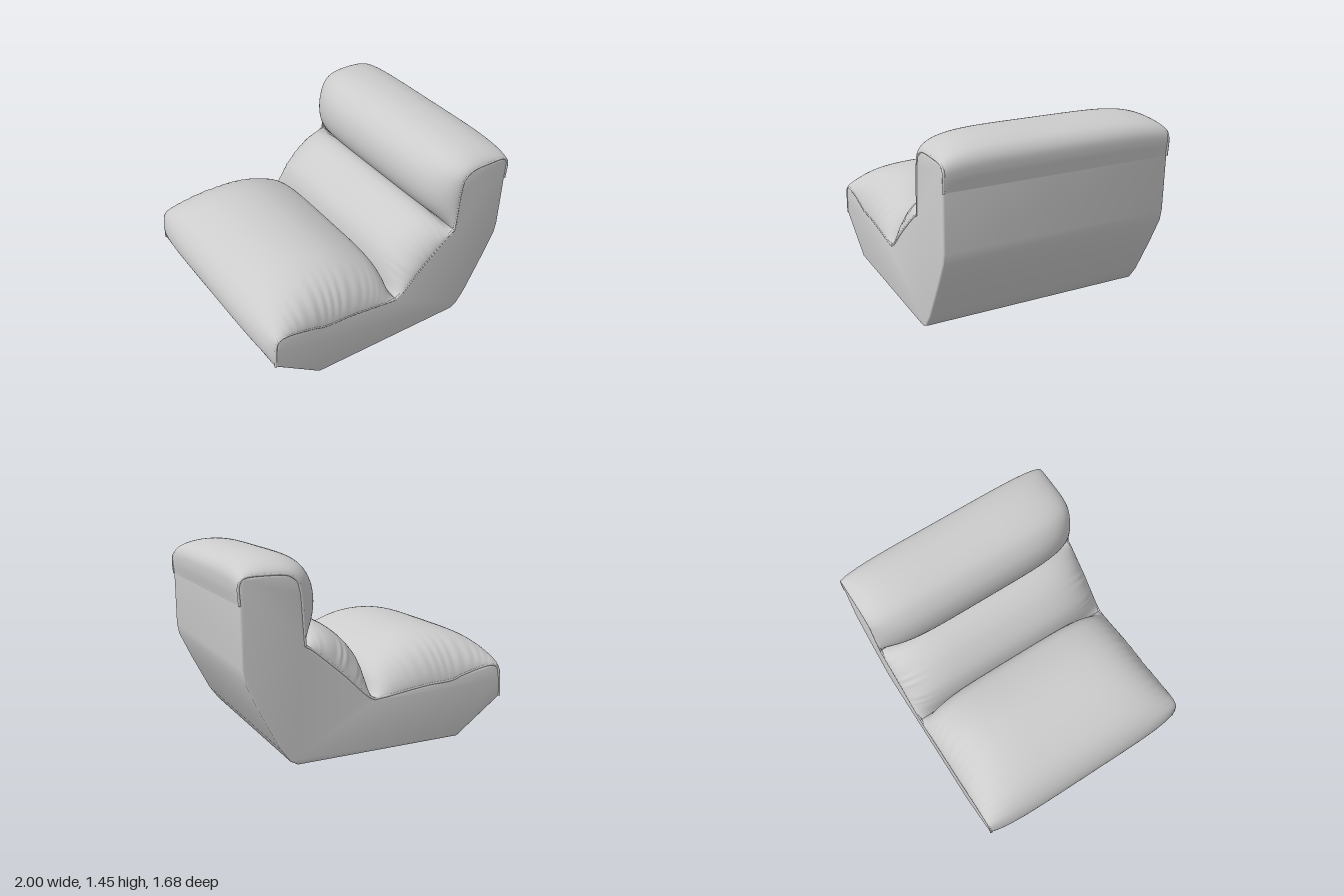
import * as THREE from 'three';
import { toCreasedNormals } from 'three/addons/utils/BufferGeometryUtils.js';

const HALF = 0.835; // half the width of the chair
const pts = (list, z = 0) => list.map(([x, y]) => new THREE.Vector3(x, y, z));
const curveOf = (list, z) => new THREE.CatmullRomCurve3(pts(list, z), false, 'centripetal');

// Seams where the cushions meet the shell, from front to back
const seatSeam = [[-0.945, 0.37], [-0.94, 0.5], [-0.925, 0.58], [-0.88, 0.605], [-0.64, 0.56], [-0.55, 0.53], [-0.35, 0.515], [0.0, 0.465], [0.05, 0.46]];
const lumbarSeam = [[0.05, 0.46], [0.1, 0.49], [0.26, 0.64], [0.4, 0.76], [0.5, 0.84], [0.545, 0.865]];
const headSeam = [[0.545, 0.865], [0.555, 1.0], [0.57, 1.2], [0.59, 1.28], [0.65, 1.325], [0.8, 1.335], [0.95, 1.32], [0.978, 1.28], [0.975, 1.15]];
// Lower outline of the shell, from the back round to the front
const underside = [[0.97, 0.75], [0.955, 0.67], [0.86, 0.47], [0.72, 0.2], [0.65, 0.105], [0.6, 0.08], [-0.6, 0.115]];

// Puffed outlines of the cushions at mid width
const seatPuff = [[-0.95, 0.37], [-0.995, 0.46], [-0.995, 0.56], [-0.95, 0.66], [-0.86, 0.75], [-0.7, 0.82], [-0.5, 0.85], [-0.3, 0.83], [-0.12, 0.765], [0.0, 0.69], [0.05, 0.61], [0.055, 0.46]];
const lumbarPuff = [[0.05, 0.46], [0.05, 0.62], [0.085, 0.74], [0.16, 0.84], [0.27, 0.925], [0.39, 0.963], [0.47, 0.945], [0.545, 0.865]];
const headPuff = [[0.545, 0.865], [0.46, 0.95], [0.405, 1.05], [0.39, 1.17], [0.42, 1.29], [0.5, 1.39], [0.6, 1.435], [0.72, 1.45], [0.85, 1.437], [0.95, 1.395], [0.99, 1.34], [0.995, 1.26], [0.975, 1.15]];

// Cushion: section swells from the seam at each side to the full puff in the middle
function cushionGeometry(seam, puff, pleats) {
  const cols = 120, rows = 64;
  const a = curveOf(seam).getSpacedPoints(cols);
  const b = curveOf(puff).getSpacedPoints(cols);
  const pos = [], idx = [];
  for (let j = 0; j <= rows; j++) {
    const s = Math.sin((j / rows - 0.5) * Math.PI);
    const e = Math.abs(s);
    const swell = Math.pow(Math.max(0, 1 - e ** 5), 0.6);
    for (let i = 0; i <= cols; i++) {
      const t = i / cols;
      // gathered pleats fading away from the side seams
      const wave = Math.sin(t * pleats * 6.283 + 1.5 * Math.sin(t * 23));
      const gather = 0.07 * wave * e ** 12 * Math.sin(Math.PI * t) ** 2;
      const p = a[i].clone().lerp(b[i], swell * (1 + (pleats ? gather : 0)));
      pos.push(p.x, p.y, s * HALF);
      if (i < cols && j < rows) {
        const k = j * (cols + 1) + i, n = k + cols + 1;
        idx.push(k, n, k + 1, k + 1, n, n + 1);
      }
    }
  }
  const g = new THREE.BufferGeometry();
  g.setAttribute('position', new THREE.Float32BufferAttribute(pos, 3));
  g.setIndex(idx);
  g.computeVertexNormals();
  return g;
}

export function createModel() {
  const group = new THREE.Group();
  const fabric = new THREE.MeshStandardMaterial({ color: 0xcccccc, side: THREE.DoubleSide });
  fabric.name = 'light grey';
  const add = (name, geometry, parent = group) => {
    const m = new THREE.Mesh(geometry, fabric);
    m.name = name;
    parent.add(m);
    return m;
  };

  // Shell: side outline extruded across the width with softened edges
  const outline = [...seatSeam, ...lumbarSeam.slice(1), ...headSeam.slice(1), ...underside];
  const shape = new THREE.Shape(outline.map(([x, y]) => new THREE.Vector2(x, y)));
  const bevel = 0.014;
  const shell = new THREE.ExtrudeGeometry(shape, {
    depth: 2 * (HALF - bevel), bevelEnabled: true, bevelThickness: bevel,
    bevelSize: bevel, bevelOffset: -bevel, bevelSegments: 3,
  });
  shell.translate(0, 0, -(HALF - bevel));
  add('shell', toCreasedNormals(shell, 0.55));

  // Cushions
  add('seatCushion', cushionGeometry(seatSeam, seatPuff, 19));
  add('lumbarCushion', cushionGeometry(lumbarSeam, lumbarPuff, 9));
  add('headCushion', cushionGeometry(headSeam, headPuff, 0));

  // Piping along the side seams
  for (const side of [-1, 1]) {
    for (const seam of [seatSeam, lumbarSeam, headSeam]) {
      add('piping', new THREE.TubeGeometry(curveOf(seam, side * (HALF - 0.006)), 60, 0.009, 8));
    }
  }

  // Feet: narrow casters at the front, wide twin-wheel casters at the back
  for (const z of [-0.48, 0.48]) {
    const front = new THREE.Group();
    front.name = 'frontFoot';
    front.position.set(-0.335, 0, z);
    add('mountPlate', new THREE.CylinderGeometry(0.06, 0.05, 0.025, 20), front).position.y = 0.095;
    add('stem', new THREE.CylinderGeometry(0.035, 0.035, 0.06, 16), front).position.y = 0.065;
    add('wheel', new THREE.CylinderGeometry(0.037, 0.037, 0.08, 16).rotateZ(Math.PI / 2), front).position.y = 0.037;
    group.add(front);

    const back = new THREE.Group();
    back.name = 'backFoot';
    back.position.set(0.35, 0, z);
    add('block', new THREE.BoxGeometry(0.08, 0.08, 0.06), back).position.y = 0.055;
    for (const dx of [-0.05, 0.05]) {
      add('wheel', new THREE.CylinderGeometry(0.038, 0.036, 0.065, 16), back).position.set(dx, 0.046, 0);
    }
    group.add(back);
  }
  return group;
}
